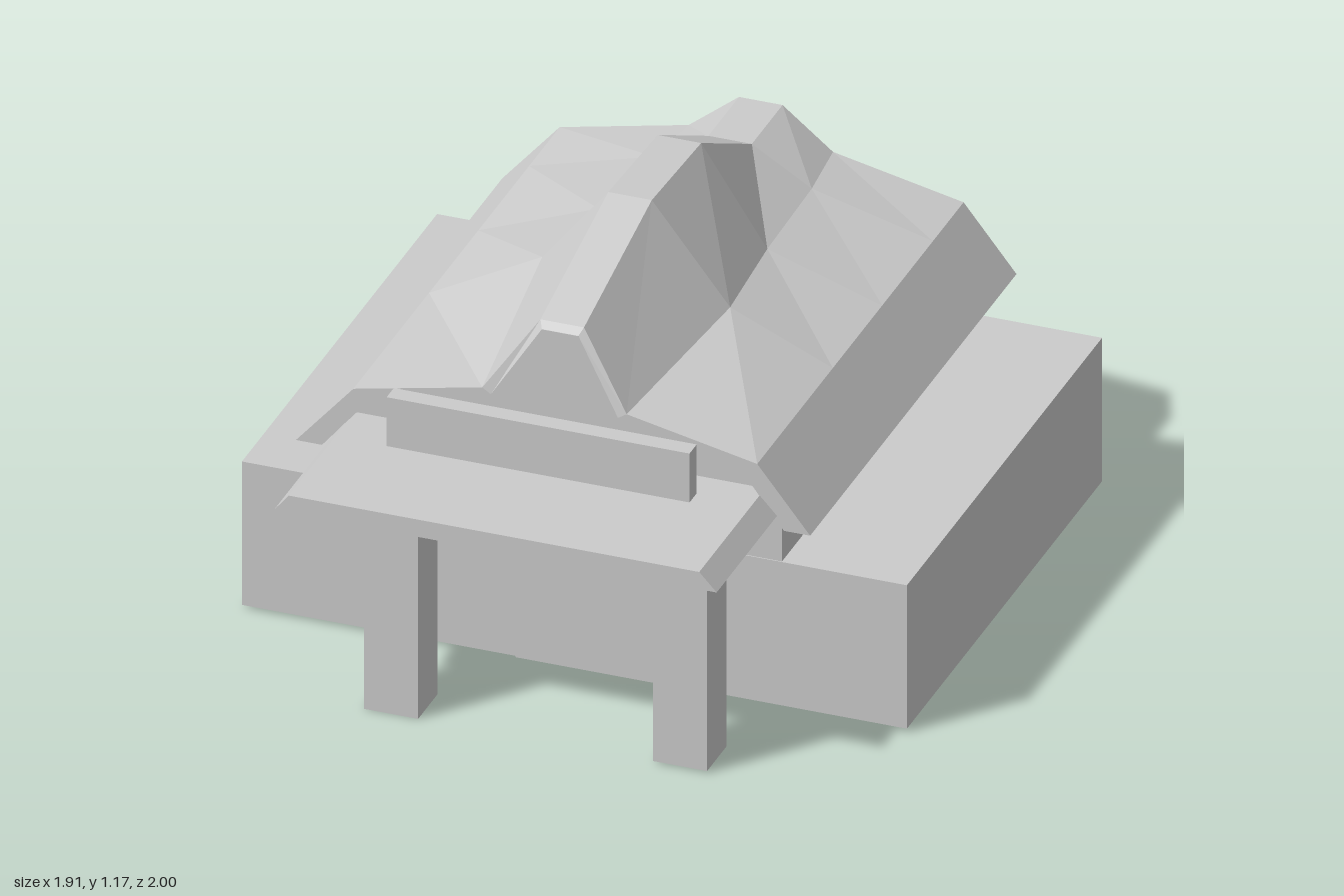
import * as THREE from 'three';

const material = new THREE.MeshStandardMaterial({ color: 0xcccccc, flatShading: true });

function addMesh(group, name, geometry) {
  const mesh = new THREE.Mesh(geometry, material);
  mesh.name = name;
  group.add(mesh);
  return mesh;
}

// Box given by its extents on each axis
function addBox(group, name, [x0, x1], [y0, y1], [z0, z1]) {
  const g = new THREE.BoxGeometry(x1 - x0, y1 - y0, z1 - z0);
  g.translate((x0 + x1) / 2, (y0 + y1) / 2, (z0 + z1) / 2);
  return addMesh(group, name, g);
}

// Solid through rings of points, front to back, each counterclockwise seen from the front
function loft(rings) {
  const n = rings[0].length;
  const pos = [];
  const tri = (...points) => points.forEach((p) => pos.push(p.x, p.y, p.z));
  for (let s = 0; s < rings.length - 1; s++) {
    for (let i = 0; i < n; i++) {
      const j = (i + 1) % n;
      const a = rings[s][i], b = rings[s][j], c = rings[s + 1][j], d = rings[s + 1][i];
      tri(a, d, c);
      tri(a, c, b);
    }
  }
  const cap = (ring, back) => {
    for (const [a, b, c] of THREE.ShapeUtils.triangulateShape(ring.slice(), [])) {
      if (back) tri(ring[a], ring[c], ring[b]);
      else tri(ring[a], ring[b], ring[c]);
    }
  };
  cap(rings[0], false);
  cap(rings[rings.length - 1], true);
  const g = new THREE.BufferGeometry();
  g.setAttribute('position', new THREE.Float32BufferAttribute(pos, 3));
  g.computeVertexNormals();
  return g;
}

// Roof stations: eave z, crown z, crown height, left and right valley points
const stations = [
  { z: 0.547, crownZ: 0.488, top: 1.045, left: [-0.25, 0.838], right: [0.165, 0.838] },
  { z: -0.02, crownZ: -0.02, top: 1.172, left: [-0.295, 0.935], right: [0.245, 0.888] },
  { z: -0.39, crownZ: -0.39, top: 1.155, left: [-0.275, 0.895], right: [0.21, 0.868] },
  { z: -0.77, crownZ: -0.77, top: 0.955, left: [-0.26, 0.86], right: [0.192, 0.852] },
  { z: -1, crownZ: -1, top: 0.955, left: [-0.25, 0.84], right: [0.165, 0.84] },
];

// Roof profile from left eave to right eave
const outer = (s) => [[-0.785, 0.57], [-0.62, 0.76], s.left, [-0.105, s.top],
  [0.02, s.top], s.right, [0.54, 0.76], [0.692, 0.57]];

// Underside of the roof: the profile moved inward
const inset = [[0.075, 0], [0.055, -0.016], [0.025, -0.016], [0.01, -0.02]];
const inner = (s) => outer(s).map(([x, y], i) => {
  const [dx, dy] = inset[Math.min(i, 7 - i)];
  return [x + (i < 4 ? dx : -dx), y + dy];
});

export function createModel() {
  const model = new THREE.Group();
  model.name = 'building';

  addBox(model, 'base', [-0.955, 0.955], [0.01, 0.45], [-0.955, 0.508]);

  // Upper walls fill the space below the roof
  const wallZ = [0.505, -0.02, -0.39, -0.77, -0.955];
  addMesh(model, 'upperWalls', loft(stations.map((s, k) => {
    const under = inner(s).slice(1, 7).reverse();
    return [[-0.67, 0.44], [0.595, 0.44], [0.595, 0.597], ...under, [-0.67, 0.618]]
      .map(([x, y]) => new THREE.Vector3(x, y, wallZ[k]));
  })));

  // Roof shell with a swelling ridge
  addMesh(model, 'roof', loft(stations.map((s, k) => {
    const isCrown = (i) => i === 3 || i === 4;
    const low = inner(s).map(([x, y], i) =>
      new THREE.Vector3(x, y, isCrown(i) ? s.crownZ + (k === 0 ? 0.016 : 0) : s.z));
    const high = outer(s).map(([x, y], i) =>
      new THREE.Vector3(x, y, isCrown(i) ? s.crownZ : s.z));
    return [...low, ...high.reverse()];
  })));

  // Porch canopy with bevelled sides
  addMesh(model, 'canopy', loft([1, 0.5].map((z) =>
    [[-0.675, 0.612], [0.597, 0.612], [0.547, 0.665], [-0.632, 0.665]]
      .map(([x, y]) => new THREE.Vector3(x, y, z)))));

  // Porch posts
  addBox(model, 'rightPost', [-0.45, -0.295], [0, 0.612], [0.765, 0.91]);
  addBox(model, 'leftPost', [0.38, 0.535], [0.005, 0.612], [0.765, 0.91]);

  addBox(model, 'signBoard', [-0.475, 0.395], [0.68, 0.83], [0.622, 0.676]);
  addBox(model, 'door', [-0.165, 0.278], [0.013, 0.355], [0.5, 0.52]);

  return model;
}
